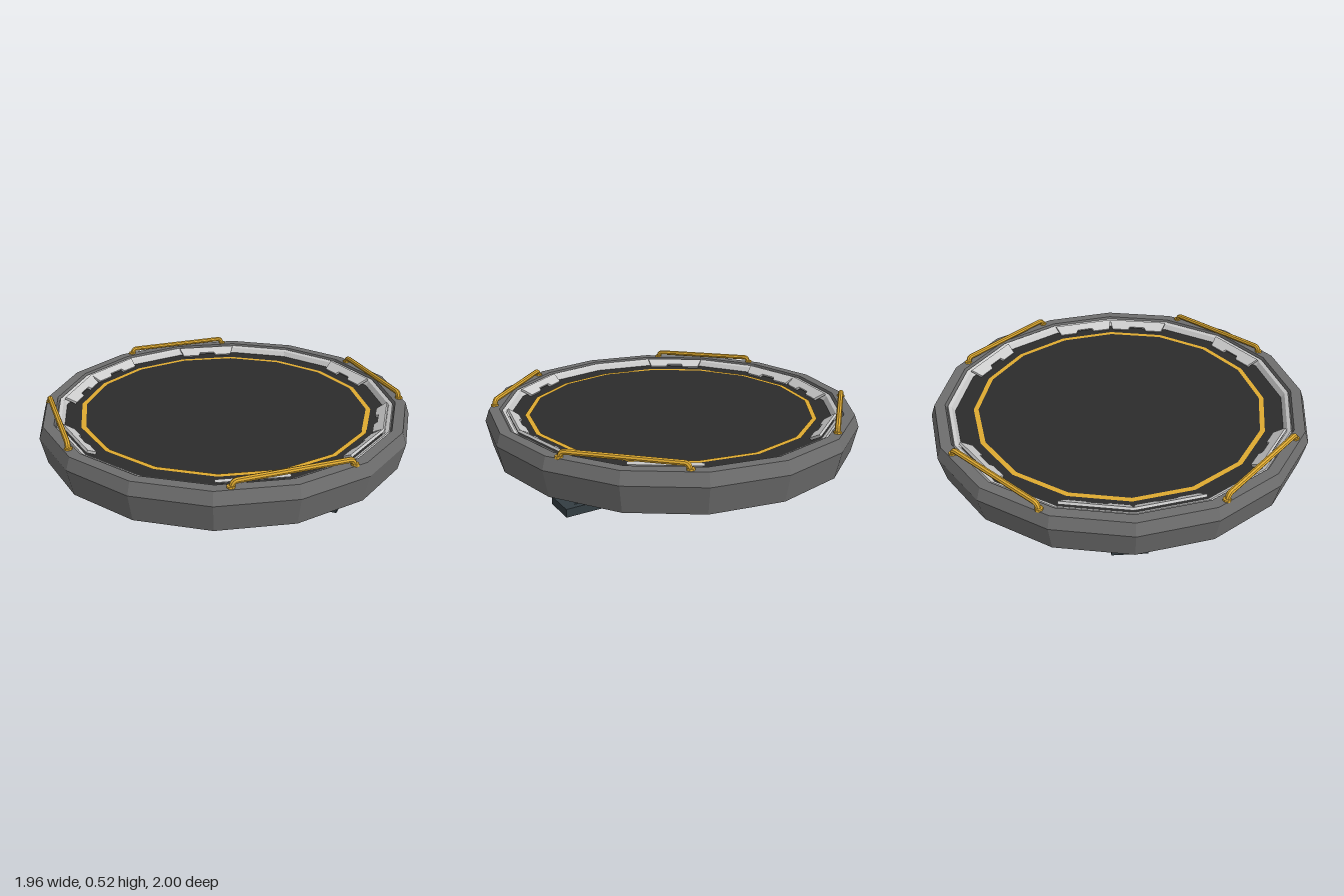
import * as THREE from 'three';

const mat = (color, side = THREE.FrontSide) => {
  const m = new THREE.MeshStandardMaterial({ color, side });
  m.flatShading = true;
  return m;
};
const rimMat = mat(0x6e6e6e);
const lightMat = mat(0xc0c0c0, THREE.DoubleSide);
const floorMat = mat(0x2c2c2c);
const yellowMat = mat(0xdfaa30);
const steelMat = mat(0x333d42);

const SIDES = 16;
const vecs = (pts) => pts.map(([x, y]) => new THREE.Vector2(x, y));

function add(parent, name, geometry, material) {
  const mesh = new THREE.Mesh(geometry, material);
  mesh.name = name;
  parent.add(mesh);
  return mesh;
}

const lathe = (pts) => new THREE.LatheGeometry(vecs(pts), SIDES);

// Outline with optional holes, extruded and centred in depth
function slab(outline, depth, holes = []) {
  const shape = new THREE.Shape(vecs(outline));
  for (const h of holes) shape.holes.push(new THREE.Path(vecs(h)));
  return new THREE.ExtrudeGeometry(shape, { depth, bevelEnabled: false }).translate(0, 0, -depth / 2);
}

// Straight grab bar with short bent legs, running along x
function grabBar() {
  const g = new THREE.Group();
  g.name = 'grabBar';
  const h = 0.297, top = 0.51, path = new THREE.CurvePath();
  const p = [[-h, 0.47], [-h + 0.006, 0.49], [-h + 0.028, top], [h - 0.028, top], [h - 0.006, 0.49], [h, 0.47]]
    .map(([x, y]) => new THREE.Vector3(x, y, 0));
  path.add(new THREE.LineCurve3(p[0], p[1]));
  path.add(new THREE.QuadraticBezierCurve3(p[1], new THREE.Vector3(-h + 0.01, top, 0), p[2]));
  path.add(new THREE.LineCurve3(p[2], p[3]));
  path.add(new THREE.QuadraticBezierCurve3(p[3], new THREE.Vector3(h - 0.01, top, 0), p[4]));
  path.add(new THREE.LineCurve3(p[4], p[5]));
  add(g, 'bar', new THREE.TubeGeometry(path, 80, 0.014, 8), yellowMat);
  for (const s of [-1, 1]) {
    add(g, 'barFoot', new THREE.CylinderGeometry(0.019, 0.021, 0.012, 8), yellowMat).position.set(s * h, 0.484, 0);
  }
  return g;
}

export function createModel() {
  const model = new THREE.Group();
  model.name = 'roundPlatform';

  // Faceted outer body, closed below, open above
  const platform = new THREE.Group();
  platform.name = 'platform';
  platform.scale.x = 0.98;
  model.add(platform);
  add(platform, 'outerRim', lathe([
    [0, 0.28], [0.97, 0.28], [1, 0.42], [0.977, 0.482], [0.922, 0.482], [0.915, 0.462], [0.9, 0.462],
  ]), rimMat);
  add(platform, 'innerWall', lathe([[0.911, 0.462], [0.908, 0.474], [0.89, 0.466], [0.873, 0.438]]), lightMat);
  add(platform, 'floor', lathe([[0.885, 0.44], [0, 0.44]]), floorMat);

  // Notched plates leaning on the inner wall
  const plate = slab([
    [-0.15, 0], [-0.055, 0], [-0.045, 0.02], [0.045, 0.02], [0.055, 0], [0.15, 0], [0.172, 0.062], [-0.172, 0.062],
  ], 0.014).rotateX(1.0).translate(0, 0.444, 0.812);
  for (const deg of [33.75, 78.75, 101.25, 146.25]) {
    for (const s of [-1, 1]) {
      add(platform, 'wallPlate', plate, lightMat).rotation.y = THREE.MathUtils.degToRad(s * deg);
    }
  }

  // Painted boundary line on the floor
  add(model, 'floorLine', new THREE.RingGeometry(0.752, 0.777, SIDES).rotateX(-Math.PI / 2).translate(0, 0.443, 0), yellowMat);

  // Four grab bars across the diagonals
  for (let i = 0; i < 4; i++) {
    const pivot = new THREE.Group();
    pivot.name = 'grabBarMount';
    const bar = grabBar();
    bar.position.z = 0.888;
    pivot.rotation.y = Math.PI / 4 + i * Math.PI / 2;
    pivot.add(bar);
    model.add(pivot);
  }

  // Stand: foot beam, triangulated truss and tapered top plate
  const stand = new THREE.Group();
  stand.name = 'stand';
  model.add(stand);
  add(stand, 'footBeam', new THREE.BoxGeometry(1.36, 0.046, 0.185), steelMat).position.y = 0.023;
  const sideHole = (s) => [[s * 0.47, 0.082], [s * 0.135, 0.082], [s * 0.265, 0.188]];
  add(stand, 'truss', slab(
    [[-0.62, 0.045], [0.62, 0.045], [0.26, 0.262], [-0.26, 0.262]], 0.12,
    [sideHole(-1), sideHole(1), [[-0.2, 0.218], [0.2, 0.218], [0, 0.122]]],
  ), steelMat);
  add(stand, 'topPlate', slab(
    [[-0.43, 0.257], [0.43, 0.257], [0.585, 0.282], [-0.585, 0.282]], 0.235,
  ), steelMat);

  return model;
}
